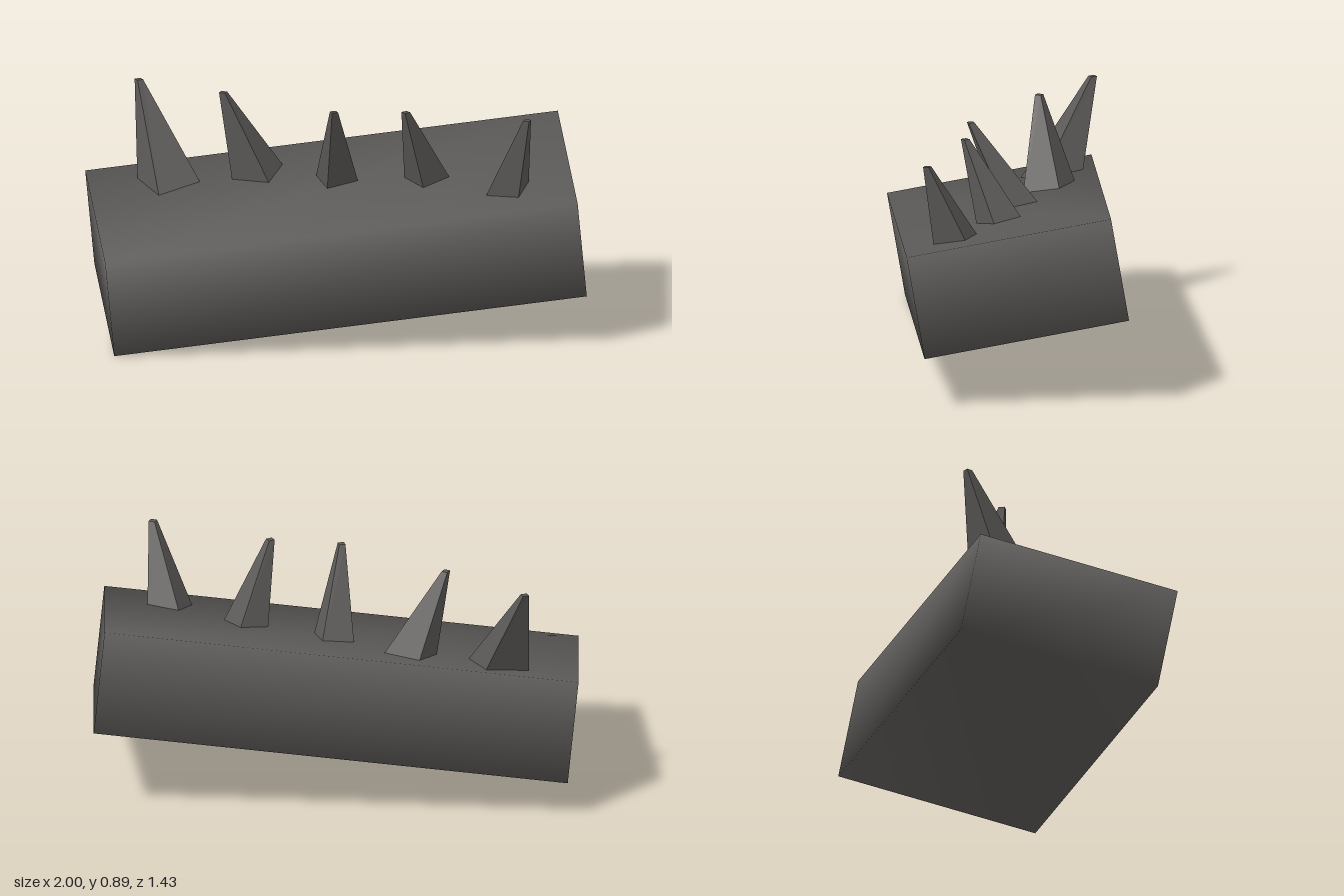
import * as THREE from 'three';
import { mergeVertices } from 'three/addons/utils/BufferGeometryUtils.js';

const stone = new THREE.MeshStandardMaterial({ color: 0x5c5a58 });
stone.name = 'dark stone';

// Tilted slab: a unit box carried onto three edge vectors, normals shared at the corners
function makeSlab() {
  const corner = new THREE.Vector3(-0.705, 0, 0.635);
  const along = new THREE.Vector3(1.7, 0.195, -0.62);
  const up = new THREE.Vector3(-0.015, 0.39, 0.077);
  const back = new THREE.Vector3(-0.28, 0.14, -0.73);
  let geo = new THREE.BoxGeometry(1, 1, 1).translate(0.5, 0.5, -0.5);
  geo.applyMatrix4(new THREE.Matrix4().makeBasis(along, up, back.clone().negate()).setPosition(corner));
  geo.deleteAttribute('normal');
  geo.deleteAttribute('uv');
  geo = mergeVertices(geo);
  geo.computeVertexNormals();
  const mesh = new THREE.Mesh(geo, stone);
  mesh.name = 'slab';
  return mesh;
}

// Height of the slab's sloping top
const topHeight = (x, z) => 0.554 + 0.038 * x - 0.192 * z;

// Leaning four-sided spike: base centre, offset of one base corner, blunt tip
function makeSpike([cx, cz], [ox, oz], [tx, ty, tz]) {
  let geo = new THREE.CylinderGeometry(0.017, Math.hypot(ox, oz), 1, 4, 1, false, Math.atan2(ox, oz));
  const p = geo.attributes.position;
  for (let i = 0; i < p.count; i++) {
    const t = p.getY(i) + 0.5;
    const x = p.getX(i) + cx + (tx - cx) * t;
    const z = p.getZ(i) + cz + (tz - cz) * t;
    p.setXYZ(i, x, t > 0.5 ? ty : topHeight(x, z) - 0.005, z);
  }
  geo = geo.toNonIndexed();
  geo.computeVertexNormals();
  return new THREE.Mesh(geo, stone);
}

export function createModel() {
  const model = new THREE.Group();
  model.name = 'spikedSlab';
  model.add(makeSlab());

  const spikes = new THREE.Group();
  spikes.name = 'spikes';
  [
    [[-0.65, 0.035], [0.13, 0.005], [-0.806, 0.89, -0.085]],
    [[-0.325, -0.065], [0.085, -0.07], [-0.445, 0.895, 0.015]],
    [[-0.01, -0.045], [0.09, 0.015], [0.028, 0.888, 0.138]],
    [[0.34, -0.08], [0.09, -0.01], [0.295, 0.89, 0.075]],
    [[0.67, -0.01], [0.07, -0.065], [0.775, 0.895, 0.075]],
  ].forEach((s, i) => {
    const spike = makeSpike(...s);
    spike.name = `spike${i + 1}`;
    spikes.add(spike);
  });
  model.add(spikes);
  return model;
}
